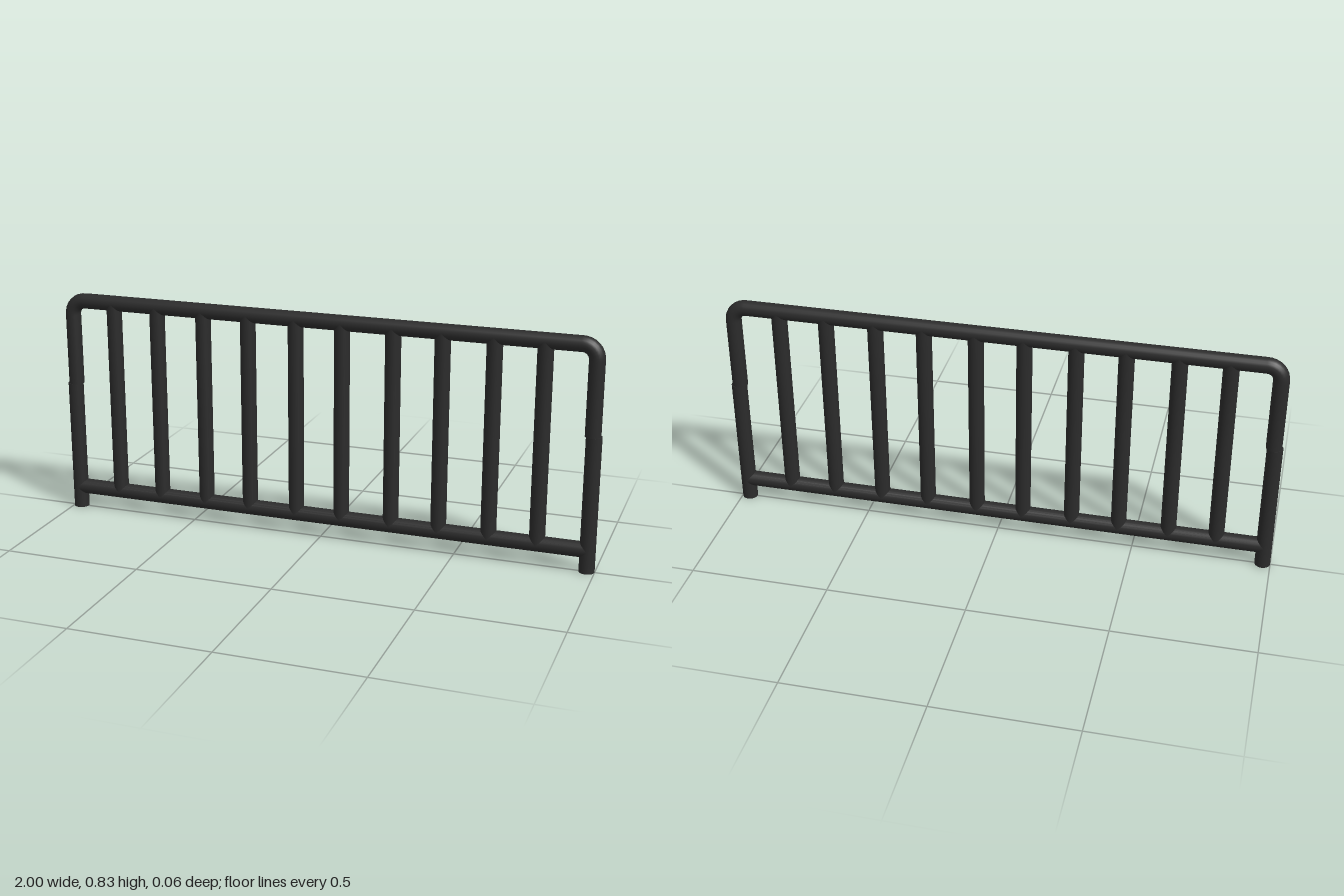
import * as THREE from 'three';

const R = 0.028;          // tube radius
const TOP = 0.835 - R;    // centre height of the top rail
const RAIL = 0.08;        // centre height of the bottom rail
const SPLIT = 0.49;       // where the bent hoop meets the lower legs
const HOOP_X = 0.968, LEG_X = 0.972, BEND = 0.05;

export function createModel() {
  const group = new THREE.Group();
  const material = new THREE.MeshStandardMaterial({ color: 0x2b2b2b });

  const add = (name, geometry, x = 0, y = 0) => {
    const mesh = new THREE.Mesh(geometry, material);
    mesh.name = name;
    mesh.position.set(x, y, 0);
    group.add(mesh);
    return mesh;
  };
  const upright = (name, x, y0, y1, r) =>
    add(name, new THREE.CylinderGeometry(r, r, y1 - y0, 20), x, (y0 + y1) / 2);

  // Bent hoop: both upper posts and the top rail with rounded corners
  const p = (x, y) => new THREE.Vector3(x, y, 0);
  const k = BEND * 0.4477; // handle offset for a near-circular bend
  const path = new THREE.CurvePath();
  path.add(new THREE.LineCurve3(p(-HOOP_X, SPLIT), p(-HOOP_X, TOP - BEND)));
  path.add(new THREE.CubicBezierCurve3(p(-HOOP_X, TOP - BEND), p(-HOOP_X, TOP - k),
    p(-HOOP_X + k, TOP), p(-HOOP_X + BEND, TOP)));
  path.add(new THREE.LineCurve3(p(-HOOP_X + BEND, TOP), p(HOOP_X - BEND, TOP)));
  path.add(new THREE.CubicBezierCurve3(p(HOOP_X - BEND, TOP), p(HOOP_X - k, TOP),
    p(HOOP_X, TOP - k), p(HOOP_X, TOP - BEND)));
  path.add(new THREE.LineCurve3(p(HOOP_X, TOP - BEND), p(HOOP_X, SPLIT)));
  add('topHoop', new THREE.TubeGeometry(path, 240, R, 20, false));

  // Lower legs
  upright('leftLeg', LEG_X, 0, SPLIT, R);
  upright('rightLeg', -LEG_X, 0, SPLIT, R);

  // Bottom rail
  add('bottomRail', new THREE.CylinderGeometry(R, R, 2 * LEG_X, 20), 0, RAIL).rotation.z = Math.PI / 2;

  // Vertical bars, set in slightly uneven pairs
  const bars = [-0.8, -0.628, -0.447, -0.274, -0.093, 0.079, 0.265, 0.441, 0.622, 0.795];
  bars.forEach((x, i) => upright(`bar${i + 1}`, x, RAIL, TOP, R));

  return group;
}
